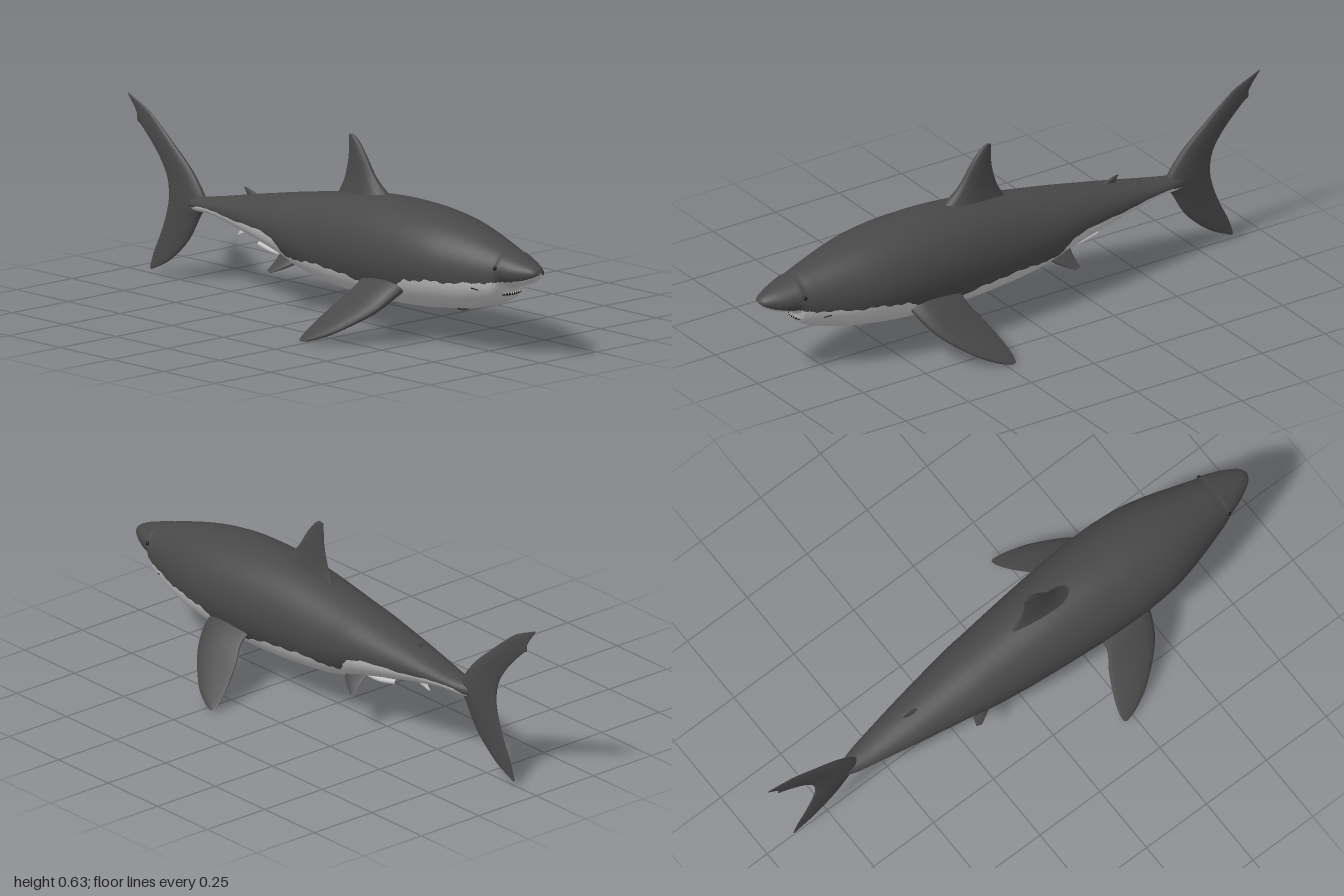
import * as THREE from 'three';

const grey = new THREE.MeshStandardMaterial({ color: 0x484848 });
grey.name = 'dark grey skin';
const pale = new THREE.MeshStandardMaterial({ color: 0xc6c6c6 });
pale.name = 'pale belly';
const black = new THREE.MeshStandardMaterial({ color: 0x161616 });
black.name = 'black';
const white = new THREE.MeshStandardMaterial({ color: 0xf0f0ee });
white.name = 'tooth white';

const V = (x, y, z) => new THREE.Vector3(x, y, z);
const spline = (pts) => new THREE.CatmullRomCurve3(pts, false, 'catmullrom', 0.5);

// Body stations: z, top, bottom, half width, height of the colour border
const STATIONS = [
  [1.0, 0.304, 0.297, 0.005, 0.299],
  [0.988, 0.317, 0.283, 0.026, 0.291],
  [0.96, 0.331, 0.266, 0.045, 0.28],
  [0.92, 0.345, 0.251, 0.065, 0.27],
  [0.875, 0.36, 0.238, 0.081, 0.264],
  [0.857, 0.365, 0.203, 0.087, 0.262],
  [0.82, 0.379, 0.176, 0.099, 0.256],
  [0.7, 0.414, 0.141, 0.136, 0.243],
  [0.6, 0.435, 0.125, 0.16, 0.238],
  [0.5, 0.448, 0.113, 0.17, 0.222],
  [0.42, 0.453, 0.107, 0.171, 0.175],
  [0.3, 0.454, 0.102, 0.167, 0.175],
  [0.15, 0.443, 0.106, 0.155, 0.198],
  [0.0, 0.42, 0.12, 0.141, 0.2],
  [-0.1, 0.403, 0.14, 0.13, 0.193],
  [-0.14, 0.396, 0.152, 0.126, 0.205],
  [-0.2, 0.385, 0.173, 0.117, 0.258],
  [-0.4, 0.346, 0.22, 0.083, 0.27],
  [-0.55, 0.315, 0.248, 0.055, 0.278],
  [-0.62, 0.303, 0.25, 0.041, 0.275],
  [-0.67, 0.295, 0.25, 0.026, 0.262],
  [-0.72, 0.285, 0.268, 0.008, 0.27],
];

// Lofted elliptical body, split at the colour border into grey back and pale belly
function makeBody() {
  const heights = spline(STATIONS.map((s) => V(s[0], s[1], s[2])));
  const widths = spline(STATIONS.map((s) => V(s[3], s[4], 0)));
  const RINGS = 168, LOW = 10, UP = 14, M = LOW + UP, COLS = 2 * M;
  const pos = [], groups = [[], []];
  for (let i = 0; i <= RINGS; i++) {
    const h = heights.getPoint(i / RINGS), w = widths.getPoint(i / RINGS);
    const cy = (h.y + h.z) / 2, hy = (h.y - h.z) / 2;
    const ragged = 0.004 * Math.sin(i * 1.7) + 0.003 * Math.sin(i * 0.63);
    const s = THREE.MathUtils.clamp((w.y + ragged * hy * 6 - cy) / hy, -0.9, 0.9);
    const border = Math.asin(s);
    for (let j = 0; j < COLS; j++) {
      const k = j <= M ? j : COLS - j;
      const a = k <= LOW
        ? THREE.MathUtils.lerp(-Math.PI / 2, border, k / LOW)
        : THREE.MathUtils.lerp(border, Math.PI / 2, (k - LOW) / UP);
      pos.push((j <= M ? 1 : -1) * w.x * Math.cos(a), cy + hy * Math.sin(a), h.x);
      if (i === RINGS) continue;
      const n = (j + 1) % COLS, r = i * COLS;
      const target = groups[j < LOW || j >= COLS - LOW ? 1 : 0];
      target.push(r + j, r + COLS + j, r + n, r + n, r + COLS + j, r + COLS + n);
    }
  }
  const g = new THREE.BufferGeometry();
  g.setAttribute('position', new THREE.Float32BufferAttribute(pos, 3));
  g.setIndex([...groups[0], ...groups[1]]);
  g.addGroup(0, groups[0].length, 0);
  g.addGroup(groups[0].length, groups[1].length, 1);
  g.computeVertexNormals();
  const mesh = new THREE.Mesh(g, [grey, pale]);
  mesh.name = 'body';
  return mesh;
}

// Fin lofted through stations [leading edge, trailing edge, half thickness]
function makeFin(name, stations, normal, material) {
  const lead = spline(stations.map((s) => s[0]));
  const trail = spline(stations.map((s) => s[1]));
  const thick = spline(stations.map((s) => V(s[2], 0, 0)));
  const ROWS = (stations.length - 1) * 5, N = 20, pos = [], idx = [];
  const chord = trail.getPoint(0.5).sub(lead.getPoint(0.5));
  const span = lead.getPoint(0.6).sub(lead.getPoint(0.4));
  const forward = chord.cross(span).dot(normal) > 0;
  for (let i = 0; i <= ROWS; i++) {
    const a = lead.getPoint(i / ROWS), b = trail.getPoint(i / ROWS);
    const t = Math.max(thick.getPoint(i / ROWS).x, 0.0005);
    for (let j = 0; j < N; j++) {
      const ang = (j / N) * Math.PI * 2, u = (1 - Math.cos(ang)) / 2;
      const p = a.clone().lerp(b, u).addScaledVector(normal, t * Math.sin(ang) * (1.25 - 0.8 * u));
      pos.push(p.x, p.y, p.z);
      if (i === ROWS) continue;
      const p0 = i * N + j, p1 = i * N + ((j + 1) % N), q0 = p0 + N, q1 = p1 + N;
      if (forward) idx.push(p0, p1, q0, p1, q1, q0);
      else idx.push(p0, q0, p1, p1, q0, q1);
    }
  }
  const g = new THREE.BufferGeometry();
  g.setAttribute('position', new THREE.Float32BufferAttribute(pos, 3));
  g.setIndex(idx);
  g.computeVertexNormals();
  const mesh = new THREE.Mesh(g, material);
  mesh.name = name;
  return mesh;
}

// Fin in the middle plane; rows are lead z, lead y, trail z, trail y, half thickness
const midFin = (name, rows, material) => makeFin(name,
  rows.map((r) => [V(0, r[1], r[0]), V(0, r[3], r[2]), r[4]]), V(1, 0, 0), material);

export function createModel() {
  const model = new THREE.Group();
  model.name = 'shark';
  model.add(makeBody());

  model.add(midFin('dorsalFin', [
    [0.30, 0.425, 0.01, 0.40, 0.05], [0.255, 0.452, 0.025, 0.43, 0.034],
    [0.20, 0.50, 0.05, 0.475, 0.021], [0.15, 0.572, 0.068, 0.54, 0.014],
    [0.115, 0.613, 0.072, 0.595, 0.009], [0.088, 0.63, 0.072, 0.626, 0.004],
  ], grey));
  model.add(midFin('secondDorsalFin', [
    [-0.35, 0.34, -0.42, 0.33, 0.009], [-0.39, 0.356, -0.425, 0.348, 0.006],
    [-0.425, 0.367, -0.437, 0.366, 0.001],
  ], grey));
  model.add(midFin('analFin', [
    [-0.37, 0.23, -0.45, 0.24, 0.009], [-0.42, 0.212, -0.455, 0.218, 0.006],
    [-0.455, 0.2, -0.467, 0.202, 0.001],
  ], pale));
  model.add(midFin('tailFin', [
    [-0.885, 0.015, -0.893, 0.02, 0.001], [-0.795, 0.06, -0.872, 0.08, 0.006],
    [-0.705, 0.14, -0.842, 0.14, 0.011], [-0.65, 0.23, -0.814, 0.21, 0.018],
    [-0.62, 0.28, -0.80, 0.28, 0.023], [-0.68, 0.37, -0.813, 0.35, 0.017],
    [-0.77, 0.45, -0.86, 0.42, 0.012], [-0.88, 0.538, -0.932, 0.492, 0.007],
    [-0.925, 0.563, -0.953, 0.507, 0.005], [-0.95, 0.574, -0.957, 0.535, 0.004],
    [-0.998, 0.594, -0.998, 0.59, 0.001],
  ], grey));

  for (const s of [1, -1]) {
    const side = s > 0 ? 'left' : 'right';
    const paired = (name, rows, n, m) => makeFin(side + name,
      rows.map(([a, b, t]) => [V(s * a[0], a[1], a[2]), V(s * b[0], b[1], b[2]), t]),
      V(s * n[0], n[1], n[2]).normalize(), m);
    model.add(paired('PectoralFin', [
      [[0.11, 0.205, 0.49], [0.11, 0.215, 0.28], 0.032],
      [[0.17, 0.165, 0.475], [0.17, 0.175, 0.285], 0.026],
      [[0.235, 0.11, 0.435], [0.22, 0.125, 0.255], 0.02],
      [[0.31, 0.047, 0.345], [0.285, 0.067, 0.225], 0.013],
      [[0.345, 0.015, 0.275], [0.33, 0.028, 0.212], 0.008],
      [[0.36, 0.003, 0.225], [0.355, 0.007, 0.212], 0.002],
    ], [0.66, 0.75, 0], grey));
    model.add(paired('PelvicFin', [
      [[0.04, 0.19, -0.09], [0.04, 0.195, -0.21], 0.014],
      [[0.08, 0.158, -0.13], [0.075, 0.165, -0.205], 0.009],
      [[0.112, 0.13, -0.19], [0.108, 0.134, -0.21], 0.002],
    ], [0.6, 0.8, 0], grey));

    // Pale claspers trailing behind the pelvic fins
    const path = spline([V(s * 0.03, 0.18, -0.17), V(s * 0.034, 0.182, -0.25), V(s * 0.03, 0.196, -0.33)]);
    const clasper = new THREE.Mesh(new THREE.TubeGeometry(path, 10, 0.009, 10), pale);
    clasper.name = side + 'Clasper';
    model.add(clasper);

    const eye = new THREE.Mesh(new THREE.SphereGeometry(0.007, 14, 10), black);
    eye.name = side + 'Eye';
    eye.position.set(s * 0.08, 0.311, 0.865);
    model.add(eye);
  }

  // Curved mouth slit with a row of small teeth
  const mouthPath = spline([V(-0.102, 0.236, 0.775), V(-0.073, 0.224, 0.828), V(-0.038, 0.217, 0.856),
    V(0, 0.215, 0.864), V(0.038, 0.217, 0.856), V(0.073, 0.224, 0.828), V(0.102, 0.236, 0.775)]);
  const mouth = new THREE.Mesh(new THREE.TubeGeometry(mouthPath, 48, 0.005, 8), black);
  mouth.name = 'mouth';
  model.add(mouth);
  const teeth = new THREE.Group();
  teeth.name = 'teeth';
  const toothShape = new THREE.ConeGeometry(0.003, 0.009, 6);
  for (let i = 0; i < 21; i++) {
    const tooth = new THREE.Mesh(toothShape, white);
    tooth.name = 'tooth';
    tooth.position.copy(mouthPath.getPointAt(0.14 + 0.72 * (i / 20)));
    tooth.position.z += 0.004;
    tooth.rotation.x = Math.PI;
    teeth.add(tooth);
  }
  model.add(teeth);
  return model;
}
